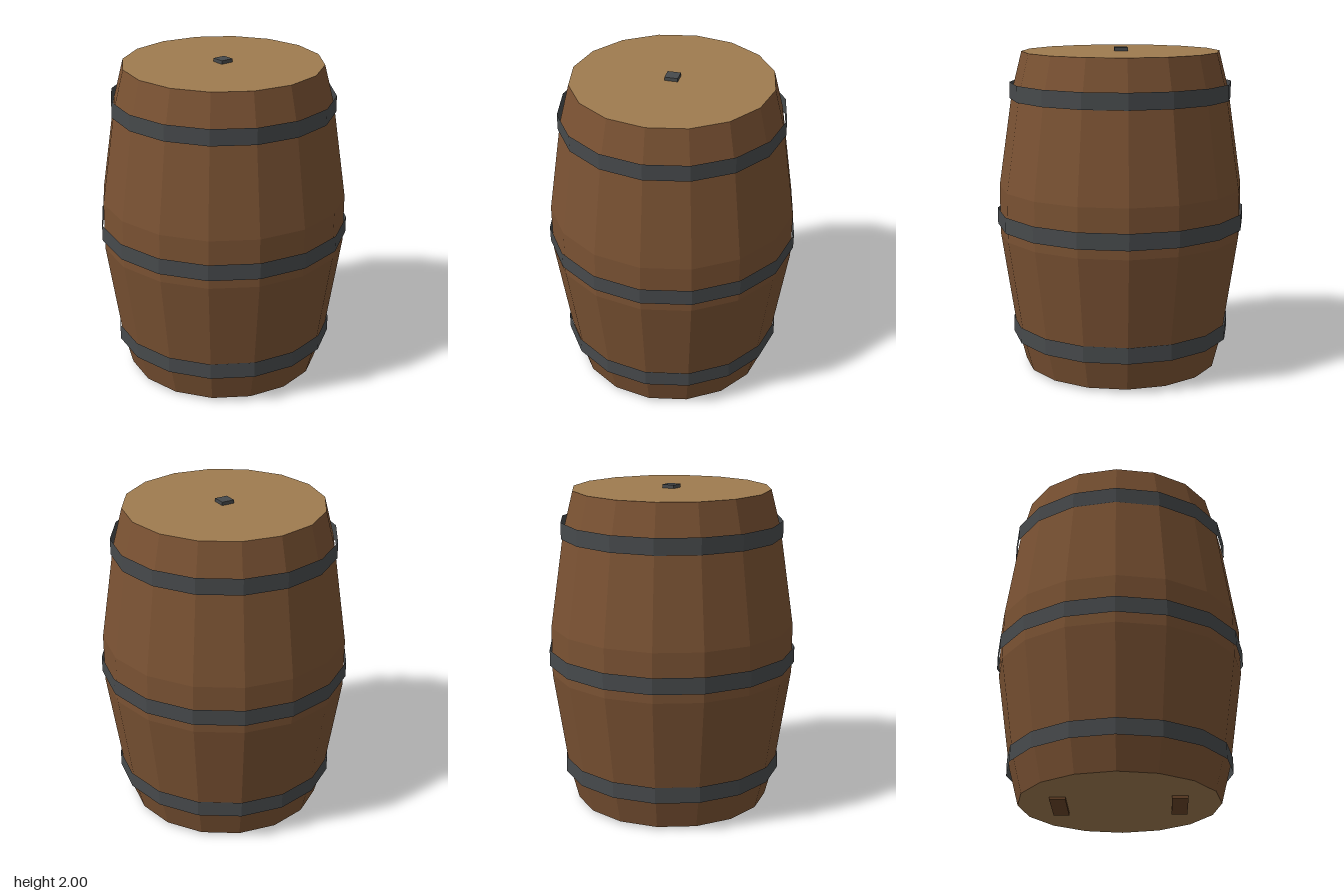
import * as THREE from 'three';

const SIDES = 16;

function material(name, color, options = {}) {
  const m = new THREE.MeshStandardMaterial({ color, flatShading: true, ...options });
  m.name = name;
  return m;
}

export function createModel() {
  const barrel = new THREE.Group();
  barrel.name = 'barrel';

  const wood = material('stave brown', 0x7a5233);
  const headWood = material('head tan', 0x9f7b4f);
  const iron = material('iron grey', 0x474a4c, { side: THREE.DoubleSide });
  const darkWood = material('cleat brown', 0x6a4529);

  function add(name, geometry, mat, x = 0, y = 0, z = 0) {
    const mesh = new THREE.Mesh(geometry, mat);
    mesh.name = name;
    mesh.position.set(x, y, z);
    barrel.add(mesh);
    return mesh;
  }

  // Bulging sixteen-sided body
  const bottom = 0.017, top = 1.979, endRadius = 0.607;
  const profile = [
    [endRadius, bottom], [0.668, 0.255], [0.756, 0.85],
    [0.756, 1.15], [0.668, 1.74], [endRadius, top],
  ].map(([r, y]) => new THREE.Vector2(r, y));
  add('staves', new THREE.LatheGeometry(profile, SIDES), wood);

  // Flat heads closing both ends
  const head = new THREE.CircleGeometry(endRadius, SIDES);
  add('topHead', head, headWood, 0, top).rotation.x = -Math.PI / 2;
  add('bottomHead', head, headWood, 0, bottom).rotation.x = Math.PI / 2;

  // Straight open iron hoops
  const hoops = [['lowerHoop', 0.683, 0.252], ['middleHoop', 0.771, 0.957], ['upperHoop', 0.683, 1.742]];
  for (const [name, radius, y] of hoops) {
    add(name, new THREE.CylinderGeometry(radius, radius, 0.1, SIDES, 1, true), iron, 0, y);
  }

  // Square bung on the top head
  add('bung', new THREE.BoxGeometry(0.08, 0.022, 0.08), iron, 0, 1.989);

  // Two cleats under the bottom head
  for (const side of [-1, 1]) {
    const name = side > 0 ? 'leftCleat' : 'rightCleat';
    add(name, new THREE.BoxGeometry(0.095, 0.02, 0.32), darkWood, side * 0.357, 0.01);
  }

  return barrel;
}
